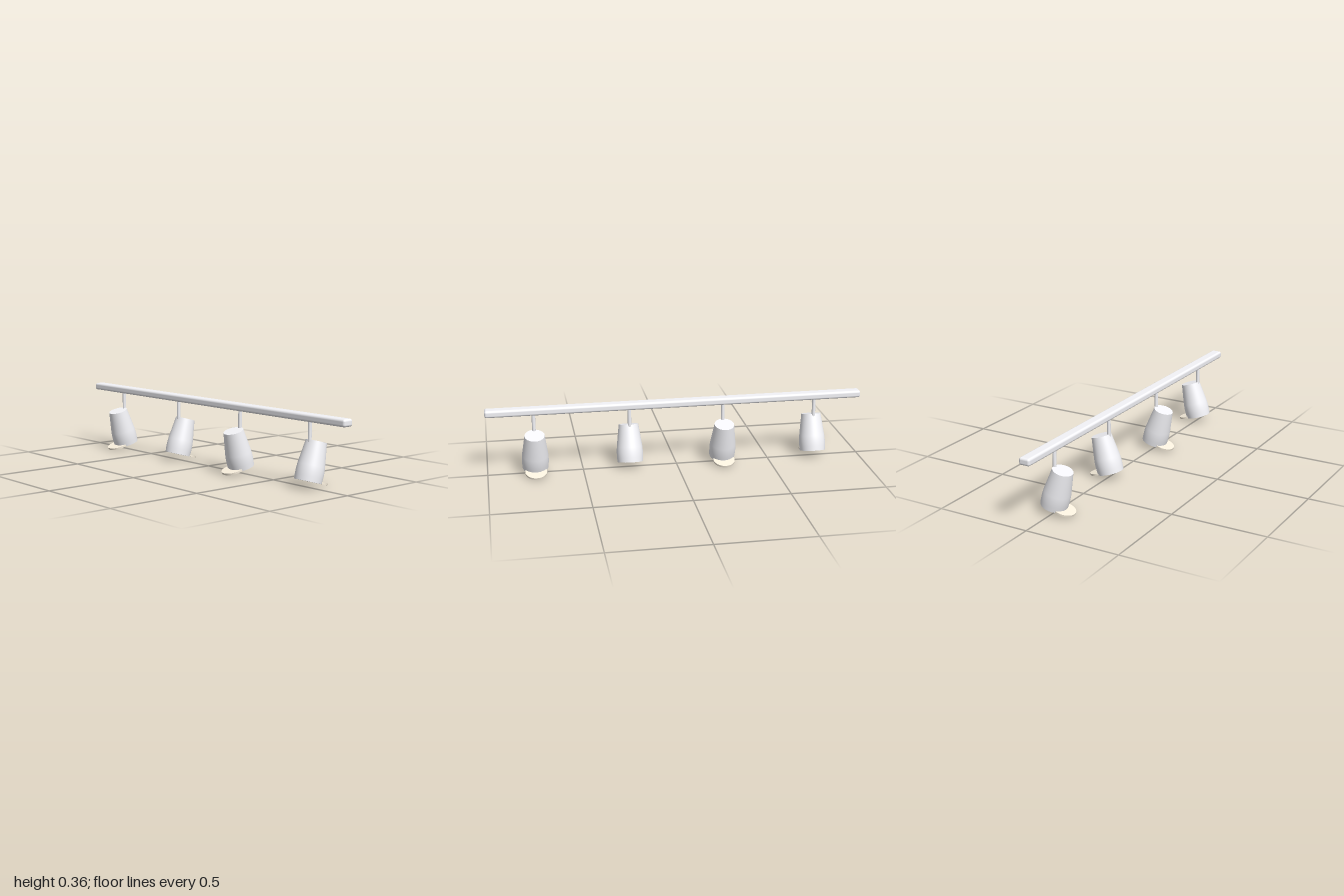
import * as THREE from 'three';
import { RoundedBoxGeometry } from 'three/addons/geometries/RoundedBoxGeometry.js';

const white = new THREE.MeshStandardMaterial({ color: 0xf4f4f8 });
const cream = new THREE.MeshStandardMaterial({ color: 0xfaf0de });

function part(name, geometry, material = white) {
  const mesh = new THREE.Mesh(geometry, material);
  mesh.name = name;
  return mesh;
}

// Tilted shade with closed ends and a flat disc sticking out at the rim
function createHead() {
  const head = new THREE.Group();
  head.name = 'lampHead';
  const height = 0.199, rimRadius = 0.068, topRadius = 0.052;

  const profile = [
    [rimRadius, 0], [0.0695, 0.025], [0.07, 0.05], [0.068, 0.08], [topRadius, height],
  ].map(([r, y]) => new THREE.Vector2(r, y));
  head.add(part('shade', new THREE.LatheGeometry(profile, 48)));

  const top = part('shadeTop', new THREE.CircleGeometry(topRadius, 48));
  top.rotation.x = -Math.PI / 2;
  top.position.y = height;
  const bottom = part('shadeBottom', new THREE.CircleGeometry(rimRadius, 48));
  bottom.rotation.x = Math.PI / 2;

  const disc = part('disc', new THREE.CylinderGeometry(0.057, 0.057, 0.01, 48), cream);
  disc.position.set(0, 0.0055, -0.06);

  head.add(top, bottom, disc);
  head.position.set(0, 0.032, 0.009);
  head.rotation.x = -0.28;
  return head;
}

// Stem hanging from the rail with a head below it
function createSpot() {
  const spot = new THREE.Group();
  spot.name = 'spotlight';
  const stem = part('stem', new THREE.CylinderGeometry(0.0095, 0.0095, 0.108, 24));
  stem.position.y = 0.278;
  spot.add(stem, createHead());
  return spot;
}

export function createModel() {
  const model = new THREE.Group();
  model.name = 'trackLight';

  const rail = part('rail', new RoundedBoxGeometry(2, 0.038, 0.06, 4, 0.012));
  rail.position.y = 0.343;
  model.add(rail);

  // Four spots, alternately turned to the front and the back
  for (let i = 0; i < 4; i++) {
    const spot = createSpot();
    spot.position.x = -0.75 + i * 0.5;
    spot.rotation.y = i % 2 === 0 ? Math.PI : 0;
    model.add(spot);
  }
  return model;
}
